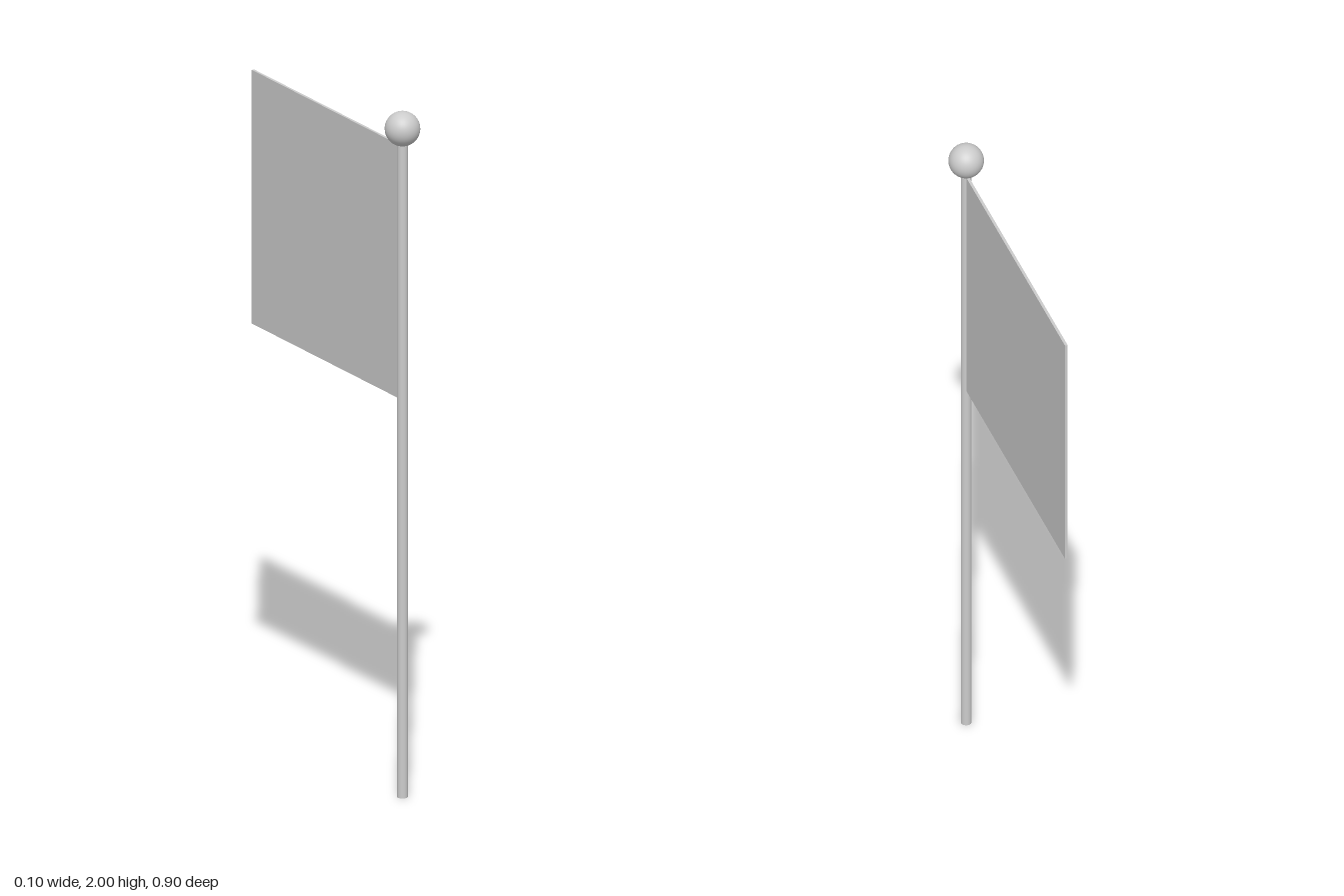
import * as THREE from 'three';

export function createModel() {
  const group = new THREE.Group();
  const material = new THREE.MeshStandardMaterial({ color: 0xcccccc });
  const poleZ = 0.4;

  const add = (name, geometry, y, z) => {
    const mesh = new THREE.Mesh(geometry, material);
    mesh.name = name;
    mesh.position.set(0, y, z);
    group.add(mesh);
  };

  // Slim upright pole, running into the ball
  const poleHeight = 1.92;
  add('pole', new THREE.CylinderGeometry(0.015, 0.015, poleHeight, 24), poleHeight / 2, poleZ);

  // Ball finial on the pole's tip
  add('finial', new THREE.SphereGeometry(0.05, 32, 24), 1.95, poleZ);

  // Thin flat flag, reaching back from the pole's axis
  const flagEnd = -0.45, flagTop = 1.9, flagBottom = 1.16;
  add('flag',
    new THREE.BoxGeometry(0.008, flagTop - flagBottom, poleZ - flagEnd),
    (flagTop + flagBottom) / 2, (poleZ + flagEnd) / 2);

  return group;
}
